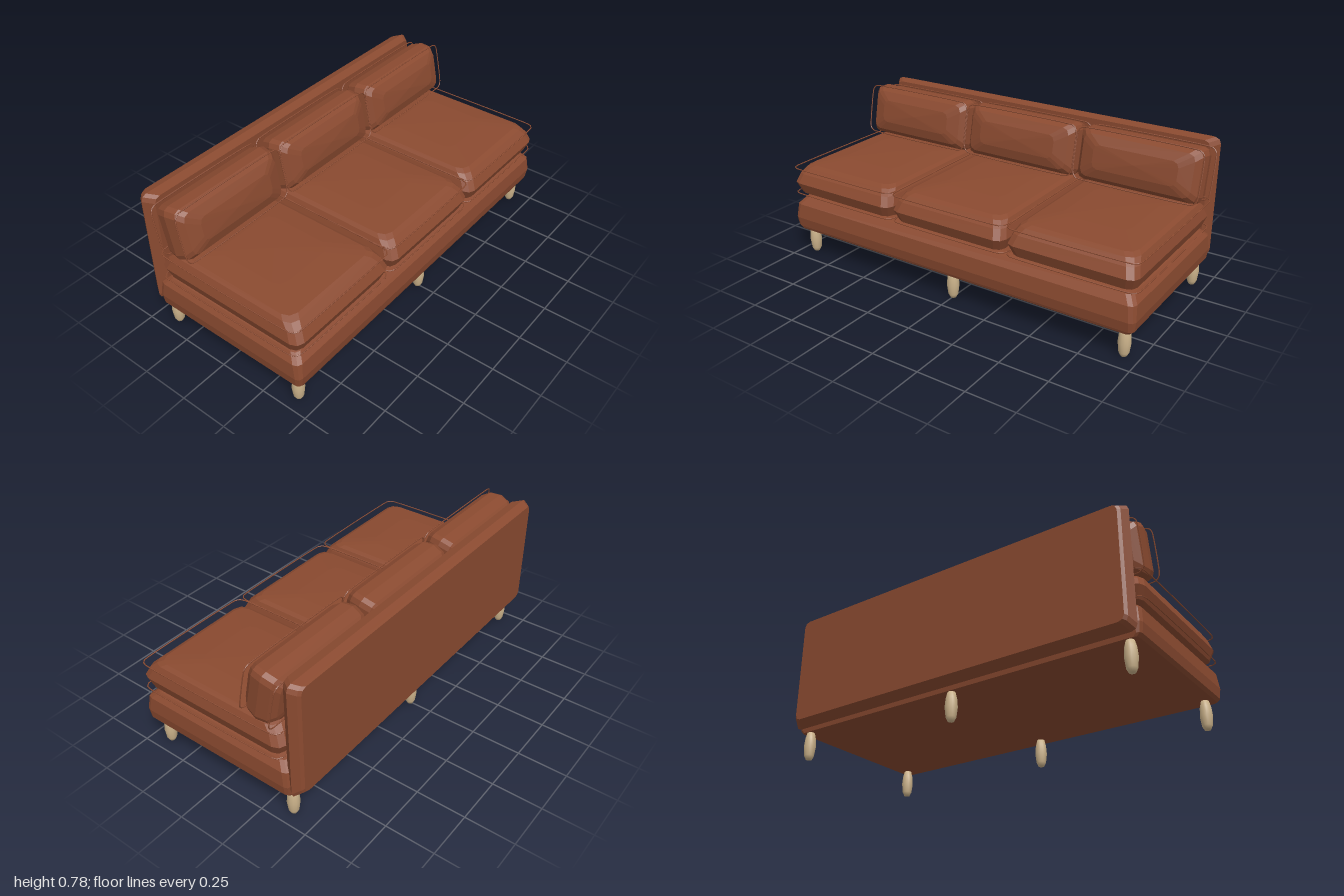
import * as THREE from 'three';

const leather = new THREE.MeshStandardMaterial({ name: 'brown leather', color: 0x8a4a30, flatShading: true });
const wood = new THREE.MeshStandardMaterial({ name: 'pale wood', color: 0xcbb28a });

// Rectangle with rounded corners, counter-clockwise seen from above (+y)
function ringPoints(y, a, b, r, zc = 0, steps = 2) {
  const pts = [];
  for (let q = 0; q < 4; q++) {
    const sx = q === 0 || q === 3 ? 1 : -1;
    const sz = q < 2 ? -1 : 1;
    for (let k = 0; k <= steps; k++) {
      const t = (q + k / steps) * Math.PI / 2;
      pts.push(new THREE.Vector3(sx * (a - r) + r * Math.cos(t), y, zc + sz * (b - r) - r * Math.sin(t)));
    }
  }
  return pts;
}

// Padded block: rings of [y, half width, half depth, corner, z centre], closed with low domes
function padded(rings, bottomY, topY) {
  const pos = [], idx = [], n = 12, m = rings.length;
  rings.forEach((r) => ringPoints(...r).forEach((p) => pos.push(p.x, p.y, p.z)));
  pos.push(0, bottomY, rings[0][4] || 0, 0, topY, rings[m - 1][4] || 0);
  for (let i = 0; i < n; i++) {
    const j = (i + 1) % n;
    for (let k = 0; k < m - 1; k++) {
      const lo = k * n, hi = lo + n;
      idx.push(lo + i, lo + j, hi + j, lo + i, hi + j, hi + i);
    }
    idx.push(m * n, j, i, m * n + 1, (m - 1) * n + i, (m - 1) * n + j);
  }
  const g = new THREE.BufferGeometry();
  g.setAttribute('position', new THREE.Float32BufferAttribute(pos, 3));
  g.setIndex(idx);
  const flat = g.toNonIndexed();
  flat.computeVertexNormals();
  return flat;
}

// Thin cord following a rounded rectangle
function piping(y, a, b) {
  const curve = new THREE.CatmullRomCurve3(ringPoints(y, a, b, 0.035, 0, 4), true, 'centripetal');
  return new THREE.TubeGeometry(curve, 120, 0.003, 5, true);
}

export function createModel() {
  const model = new THREE.Group();
  model.name = 'sofa';
  const add = (parent, name, geometry, material = leather) => {
    const mesh = new THREE.Mesh(geometry, material);
    mesh.name = name;
    parent.add(mesh);
    return mesh;
  };

  // Upholstered platform
  add(model, 'base', padded([
    [0.145, 0.97, 0.428, 0.02, 0.028],
    [0.16, 0.985, 0.432, 0.02, 0.03],
    [0.21, 0.992, 0.439, 0.025, 0.031],
    [0.285, 0.985, 0.43, 0.03, 0.03],
    [0.32, 0.955, 0.395, 0.03, 0.03],
    [0.333, 0.92, 0.36, 0.03, 0.035],
  ], 0.145, 0.335));

  // Backrest slab, lofted from back to front
  const back = padded([
    [-0.047, 0.95, 0.285, 0.03, -0.01],
    [-0.036, 0.963, 0.291, 0.03, -0.008],
    [0, 0.985, 0.31, 0.03, 0],
    [0.047, 0.95, 0.29, 0.03, -0.01],
  ], -0.047, 0.047);
  back.rotateX(Math.PI / 2);
  back.translate(0, 0.467, -0.422);
  add(model, 'backrest', back);

  const seat = padded([
    [-0.082, 0.275, 0.34, 0.04],
    [-0.058, 0.305, 0.395, 0.04],
    [0, 0.325, 0.419, 0.045],
    [0.047, 0.31, 0.395, 0.045],
    [0.075, 0.295, 0.365, 0.05],
    [0.087, 0.275, 0.34, 0.05],
    [0.1, 0.17, 0.19, 0.05],
  ], -0.084, 0.105);
  const pillow = padded([
    [-0.104, 0.22, 0.06, 0.03],
    [-0.085, 0.285, 0.105, 0.035],
    [-0.055, 0.312, 0.129, 0.035],
    [0, 0.322, 0.138, 0.035],
    [0.055, 0.312, 0.129, 0.035],
    [0.085, 0.288, 0.107, 0.035],
    [0.104, 0.22, 0.06, 0.03],
  ], -0.108, 0.11);

  // Three seat and back cushions with their piping
  for (const x of [-0.663, 0, 0.663]) {
    const bottom = new THREE.Group();
    bottom.name = 'seatCushion';
    bottom.position.set(x, 0.41, 0.049);
    add(bottom, 'seatPad', seat);
    add(bottom, 'seatPipingTop', piping(0.077, 0.327, 0.41));
    add(bottom, 'seatPipingBottom', piping(-0.061, 0.327, 0.41));

    const rear = new THREE.Group();
    rear.name = 'backCushion';
    rear.position.set(x, 0.633, -0.261);
    rear.rotation.x = Math.PI / 2 - 0.2;
    add(rear, 'backPad', pillow);
    add(rear, 'backPipingFront', piping(0.081, 0.327, 0.13));
    add(rear, 'backPipingRear', piping(-0.081, 0.327, 0.13));
    model.add(bottom, rear);
  }

  // Six barrel-shaped legs
  const profile = [[0, 0], [0.015, 0], [0.025, 0.02], [0.031, 0.07], [0.027, 0.115], [0.018, 0.15], [0, 0.15]];
  const leg = new THREE.LatheGeometry(profile.map(([r, y]) => new THREE.Vector2(r, y)), 14);
  for (const x of [-0.925, 0, 0.925]) {
    for (const z of [0.4, -0.376]) add(model, 'leg', leg, wood).position.set(x, 0, z);
  }
  return model;
}
